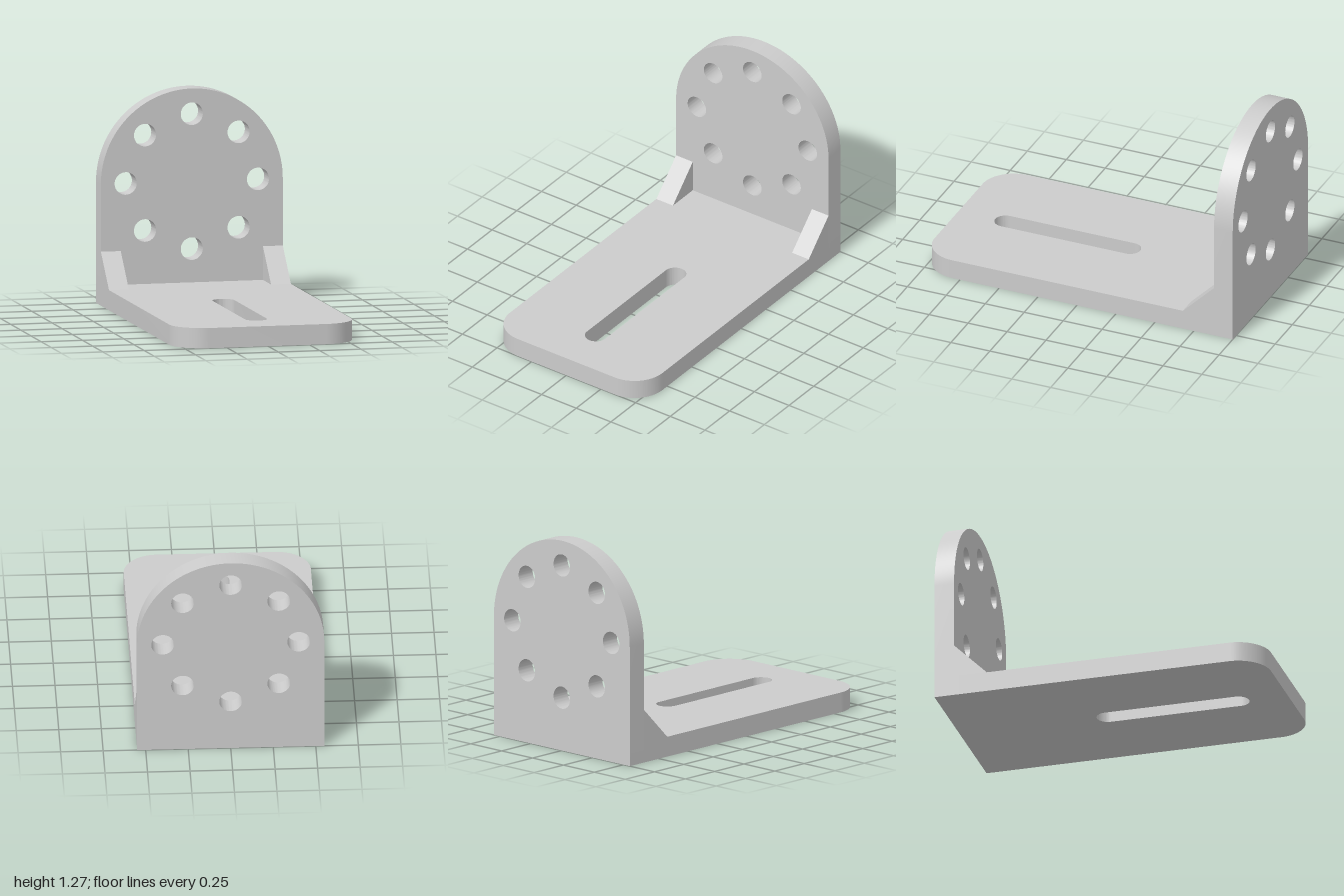
import * as THREE from 'three';
import { toCreasedNormals } from 'three/addons/utils/BufferGeometryUtils.js';

const T = 0.12;          // plate thickness
const W = 0.55;          // half width
const BACK = -1, FRONT = 1;
const WALL_FRONT = BACK + T;

const material = new THREE.MeshStandardMaterial({ color: 0xcccccc });

function extrude(shape, depth) {
  const geometry = new THREE.ExtrudeGeometry(shape, { depth, bevelEnabled: false, curveSegments: 32 });
  return toCreasedNormals(geometry, 0.5);
}

function part(name, geometry) {
  const mesh = new THREE.Mesh(geometry, material);
  mesh.name = name;
  return mesh;
}

// Flat foot with rounded front corners and a long slot; drawn with y = -z
function basePlate() {
  const r = 0.2;
  const shape = new THREE.Shape();
  shape.moveTo(W, -WALL_FRONT);
  shape.lineTo(-W, -WALL_FRONT);
  shape.lineTo(-W, -FRONT + r);
  shape.absarc(-W + r, -FRONT + r, r, Math.PI, Math.PI * 1.5);
  shape.absarc(W - r, -FRONT + r, r, Math.PI * 1.5, Math.PI * 2);
  shape.closePath();

  const s = 0.066, slotBack = -0.165, slotFront = 0.765;
  const slot = new THREE.Path();
  slot.absarc(0, -slotBack - s, s, 0, Math.PI);
  slot.absarc(0, -slotFront + s, s, Math.PI, Math.PI * 2);
  slot.closePath();
  shape.holes.push(slot);

  return part('basePlate', extrude(shape, T).rotateX(-Math.PI / 2));
}

// Upright wall with a round top and a ring of eight bolt holes
function uprightPlate() {
  const cy = 0.72;
  const shape = new THREE.Shape();
  shape.moveTo(-W, 0);
  shape.lineTo(W, 0);
  shape.lineTo(W, cy);
  shape.absarc(0, cy, W, 0, Math.PI);
  shape.closePath();

  for (let i = 0; i < 8; i++) {
    const a = (i * Math.PI) / 4;
    const hole = new THREE.Path();
    hole.absarc(0.4 * Math.cos(a), cy + 0.4 * Math.sin(a), 0.067, 0, Math.PI * 2, true);
    shape.holes.push(hole);
  }
  return part('uprightPlate', extrude(shape, T).translate(0, 0, BACK));
}

// Triangular corner brace; drawn in the z-y plane, then turned to run along x
function gusset(name, xMax) {
  const size = 0.2;
  const shape = new THREE.Shape();
  shape.moveTo(WALL_FRONT, T);
  shape.lineTo(WALL_FRONT + size, T);
  shape.lineTo(WALL_FRONT, T + size);
  shape.closePath();
  return part(name, extrude(shape, T).rotateY(-Math.PI / 2).translate(xMax, 0, 0));
}

export function createModel() {
  const model = new THREE.Group();
  model.name = 'angleBracket';
  model.add(
    basePlate(),
    uprightPlate(),
    gusset('leftGusset', W),
    gusset('rightGusset', -W + T),
  );
  return model;
}
